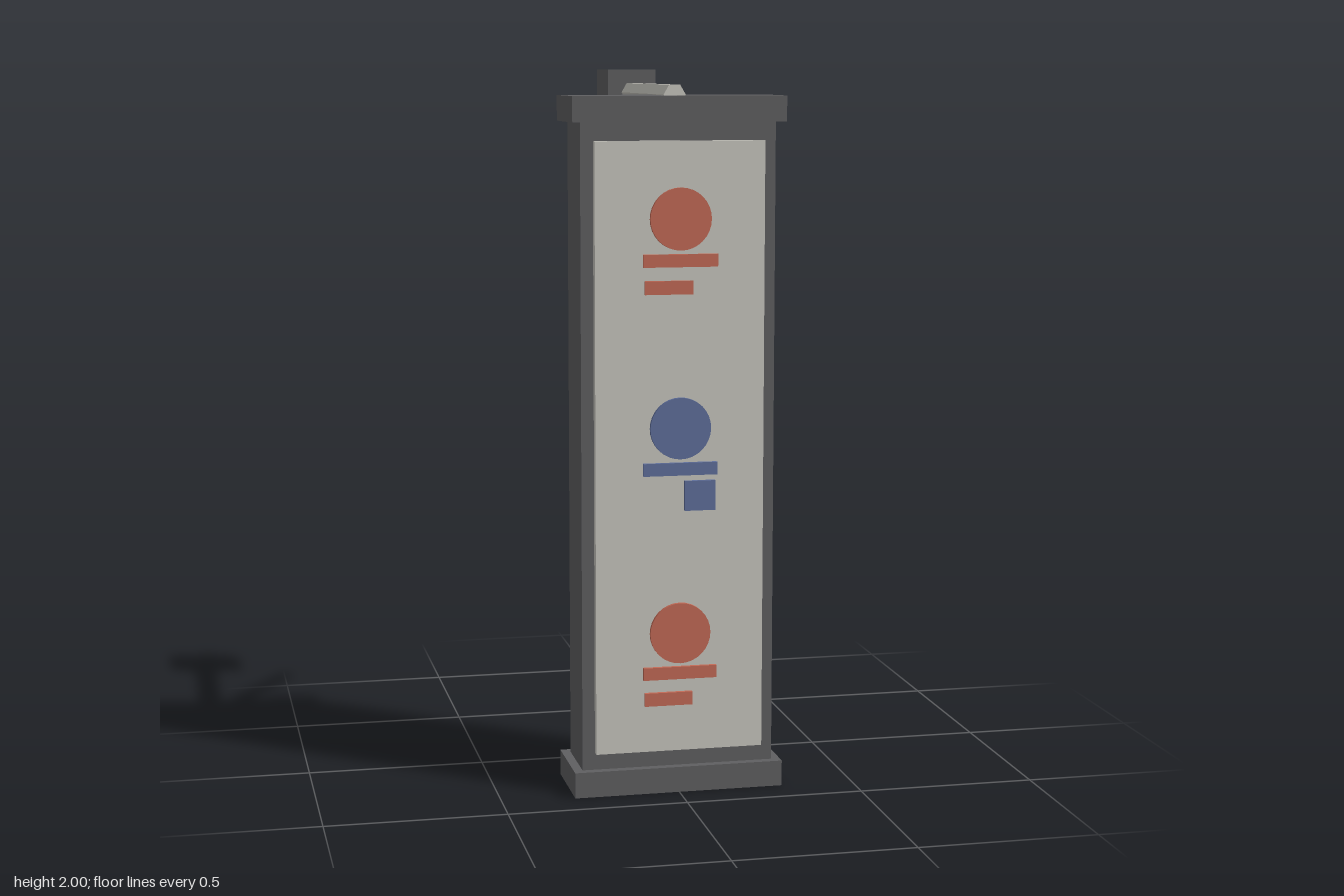
import * as THREE from 'three';
import { toCreasedNormals } from 'three/addons/utils/BufferGeometryUtils.js';

const material = (name, color) => {
  const m = new THREE.MeshStandardMaterial({ color });
  m.name = name;
  return m;
};

export function createModel() {
  const model = new THREE.Group();
  model.name = 'signPillar';

  const darkGrey = material('dark grey', 0x5f5f61);
  const cream = material('pale cream', 0xc8c7bf);
  const red = material('brick red', 0xc36a56);
  const blue = material('slate blue', 0x5f6f9c);

  const add = (name, geometry, mat, parent = model) => {
    const mesh = new THREE.Mesh(geometry, mat);
    mesh.name = name;
    parent.add(mesh);
    return mesh;
  };

  // Box given by its extents on each axis
  const box = (name, mat, [x0, x1], [y0, y1], [z0, z1], parent) => {
    const mesh = add(name, new THREE.BoxGeometry(x1 - x0, y1 - y0, z1 - z0), mat, parent);
    mesh.position.set((x0 + x1) / 2, (y0 + y1) / 2, (z0 + z1) / 2);
    return mesh;
  };

  // Six-sided bar between two points, with corners pointing sideways
  const hexBar = (name, mat, from, to, radius) => {
    const span = to.clone().sub(from);
    const geometry = toCreasedNormals(
      new THREE.CylinderGeometry(radius, radius, span.length(), 6, 1, false, Math.PI / 6), 0.5);
    const mesh = add(name, geometry, mat);
    mesh.position.copy(from).add(to).multiplyScalar(0.5);
    mesh.quaternion.setFromUnitVectors(new THREE.Vector3(0, 1, 0), span.normalize());
    return mesh;
  };

  // Pillar: base, body and cap, with a panel standing proud front and back
  box('base', darkGrey, [-0.296, 0.296], [0, 0.072], [0.162, 0.4]);
  box('body', darkGrey, [-0.271, 0.271], [0.072, 1.862], [0.188, 0.376]);
  box('cap', darkGrey, [-0.296, 0.296], [1.862, 1.932], [0.162, 0.4]);
  box('panel', cream, [-0.236, 0.236], [0.121, 1.812], [0.163, 0.399]);

  // Symbols run through the panel and show on both faces
  const depth = [0.152, 0.41];
  const symbol = (name, mat, y, lowerX, lowerY) => {
    const group = new THREE.Group();
    group.name = name;
    group.position.y = y;
    model.add(group);
    const disc = add('disc', new THREE.CylinderGeometry(0.085, 0.085, depth[1] - depth[0], 32), mat, group);
    disc.rotation.x = Math.PI / 2;
    disc.position.z = (depth[0] + depth[1]) / 2;
    box('upperBar', mat, [-0.104, 0.103], [-0.13, -0.095], depth, group);
    box('lowerMark', mat, lowerX, lowerY, depth, group);
  };
  symbol('upperSymbol', red, 1.602, [-0.1, 0.034], [-0.204, -0.167]);
  symbol('middleSymbol', blue, 1.03, [0.012, 0.098], [-0.229, -0.146]);
  symbol('lowerSymbol', red, 0.457, [-0.1, 0.034], [-0.204, -0.167]);

  // Arm on the cap carrying a block, and a sloping rod behind the pillar
  hexBar('arm', cream, new THREE.Vector3(0, 1.934, 0.326), new THREE.Vector3(0, 1.934, -0.3), 0.031);
  box('armBlock', darkGrey, [-0.072, 0.071], [1.862, 2], [-0.411, -0.246]);
  hexBar('rod', cream, new THREE.Vector3(0, 1.873, 0.22), new THREE.Vector3(0, 1.528, -0.322), 0.022);

  return model;
}
